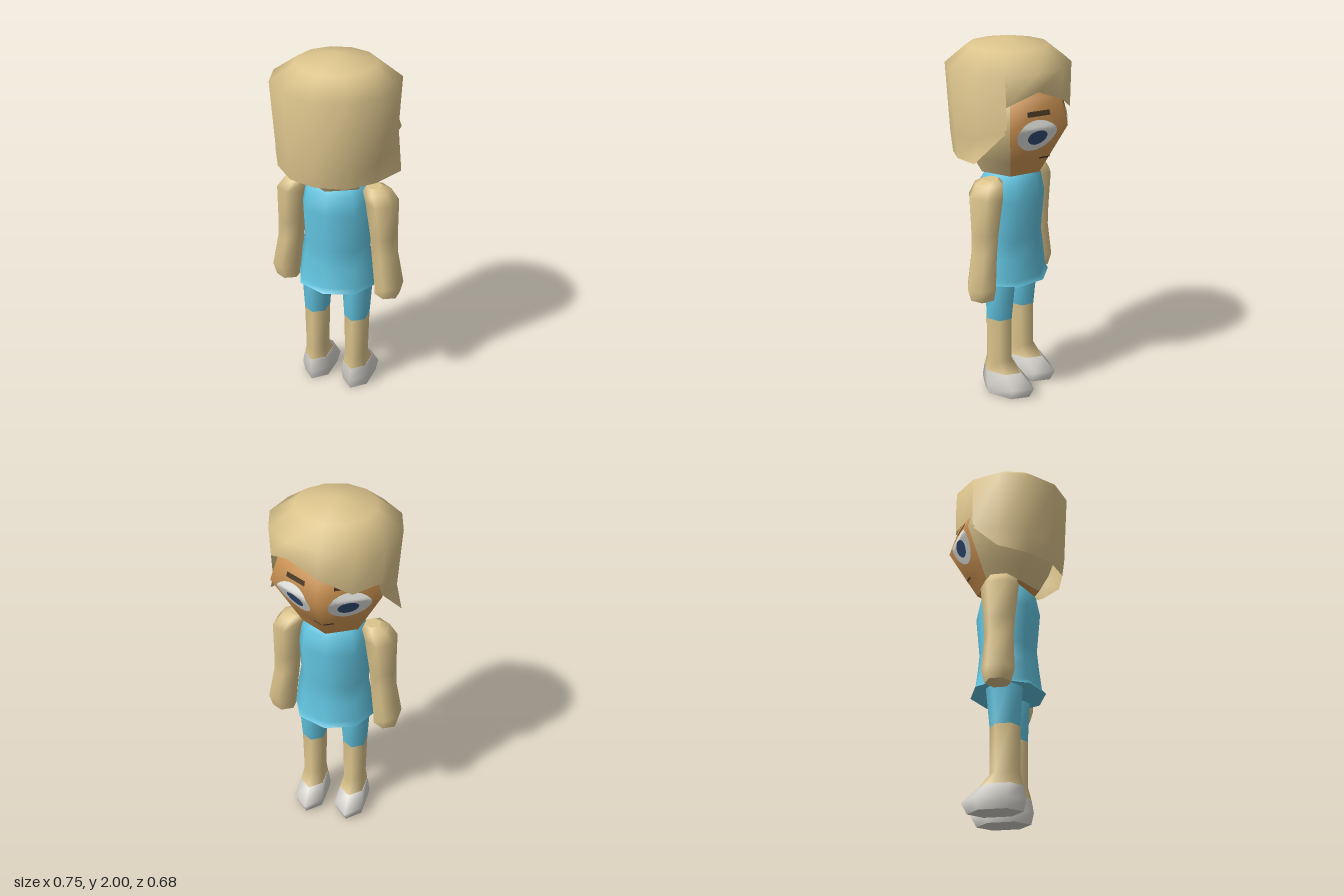
import * as THREE from 'three';
import { mergeVertices, mergeGeometries } from 'three/addons/utils/BufferGeometryUtils.js';

const mat = (name, color, side = THREE.FrontSide) => {
  const m = new THREE.MeshStandardMaterial({ color, side });
  m.name = name;
  return m;
};

// Smooth skin over rings of points, listed from bottom to top; caps are hard-edged.
function skin(rings, capBottom = true, capTop = true) {
  const n = rings[0].length;
  const index = [];
  for (let j = 0; j < n; j++) {
    const k = (j + 1) % n;
    for (let i = 0; i < rings.length - 1; i++) {
      const a = i * n + j, b = i * n + k, c = a + n, d = b + n;
      index.push(a, c, b, b, c, d);
    }
  }
  let side = new THREE.BufferGeometry();
  side.setAttribute('position', new THREE.Float32BufferAttribute(rings.flat(2), 3));
  side.setIndex(index);
  side = mergeVertices(side, 1e-5);
  side.computeVertexNormals();
  const parts = [side];
  const cap = (ring, flip) => {
    const g = new THREE.BufferGeometry();
    const idx = [];
    for (let j = 1; j < n - 1; j++) idx.push(0, flip ? j + 1 : j, flip ? j : j + 1);
    g.setAttribute('position', new THREE.Float32BufferAttribute(ring.flat(), 3));
    g.setIndex(idx);
    g.computeVertexNormals();
    parts.push(g);
  };
  if (capBottom) cap(rings[0], false);
  if (capTop) cap(rings[rings.length - 1], true);
  return mergeGeometries(parts);
}

// Elliptical ring; the first corner points to the face side (-z).
function ring(n, y, rx, rz, cx = 0, cz = 0) {
  return Array.from({ length: n }, (_, j) => {
    const a = (j / n) * Math.PI * 2;
    return [cx + rx * Math.sin(a), y, cz - rz * Math.cos(a)];
  });
}
const loft = (n, rows) => skin(rows.map((r) => ring(n, ...r)));

// Head radius by height
const headProfile = [[1.29, 0.175], [1.38, 0.228], [1.57, 0.34], [1.72, 0.29], [1.85, 0.2]];
function headRadius(y) {
  for (let i = 1; i < headProfile.length; i++) {
    const [y0, r0] = headProfile[i - 1], [y1, r1] = headProfile[i];
    if (y <= y1) return r0 + ((r1 - r0) * (y - y0)) / (y1 - y0);
  }
  return 0.2;
}

// Wraps a flat shape in (s, y) onto one face panel; s runs from the centre line to the side.
function onFace(geo, sign, s0, y0, lift) {
  const p = geo.attributes.position;
  for (let i = 0; i < p.count; i++) {
    const s = s0 + p.getX(i), y = y0 + p.getY(i), r = headRadius(y);
    p.setXYZ(i, sign * (0.866 * r * s + lift * 0.5), y, -r * (1 - s / 2) - lift * 0.866);
  }
  geo.computeVertexNormals();
  return geo;
}
function disc(rs, ry) {
  return new THREE.RingGeometry(0.001, 1, 24, 8).scale(rs, ry, 1);
}

export function createModel() {
  const tan = mat('tan', 0xdcc48c);
  const hairTan = mat('hair', 0xdcc48c, THREE.DoubleSide);
  const face = mat('face skin', 0xd69a56);
  const blue = mat('blue cloth', 0x62c4e0);
  const shoe = mat('shoe grey', 0xd6d3cd);
  const white = mat('eye white', 0xe6e6e2, THREE.DoubleSide);
  const iris = mat('iris blue', 0x36517c, THREE.DoubleSide);
  const dark = mat('dark brown', 0x4a3a24, THREE.DoubleSide);

  const model = new THREE.Group();
  const add = (name, geo, m) => {
    const mesh = new THREE.Mesh(geo, m);
    mesh.name = name;
    model.add(mesh);
  };

  // Six-sided head: the two front panels and the underside have the face colour
  const headGeo = skin(headProfile.map(([y, r]) => ring(6, y, r, r).map(([x, yy, z]) => {
    const k = z > 0 && y > 1.5 ? 0.88 : 1;
    return [x * k, yy, z * k];
  })));
  const column = (headProfile.length - 1) * 6;
  headGeo.addGroup(0, column, 1);
  headGeo.addGroup(column, column * 4, 0);
  headGeo.addGroup(column * 5, column, 1);
  headGeo.addGroup(column * 6, 12, 1);
  headGeo.addGroup(column * 6 + 12, 12, 0);
  add('head', headGeo, [tan, face]);

  // Hair: columns of angle, bend height, hem height and flare, with a slanted fringe
  const columns = [
    [0, 1.7, 1.7, 1], [30, 1.77, 1.77, 1], [60, 1.7, 1.7, 1], [60, 1.57, 1.57, 1],
    [90, 1.52, 1.4, 1.125], [120, 1.5, 1.385, 1], [150, 1.48, 1.375, 0.98],
    [180, 1.46, 1.375, 0.975], [210, 1.48, 1.375, 0.98], [240, 1.5, 1.385, 1],
    [270, 1.52, 1.4, 1.125], [300, 1.57, 1.57, 1], [300, 1.64, 1.64, 1], [330, 1.62, 1.62, 1],
  ];
  const hairPoint = (deg, y, flare) => {
    const a = THREE.MathUtils.degToRad(deg), t = (y - 1.5) / 0.36;
    return [
      (0.325 + 0.025 * t) * flare * Math.sin(a), y,
      0.0075 + 0.0095 * t - (0.3125 + 0.0105 * t) * flare * Math.cos(a),
    ];
  };
  const crown = (y, r) => columns.map(([deg]) => {
    const a = THREE.MathUtils.degToRad(deg);
    return [r * Math.sin(a), y, 0.017 - r * Math.cos(a)];
  });
  add('hair', skin([
    columns.map(([a, , hem, flare]) => hairPoint(a, hem, flare)),
    columns.map(([a, bend]) => hairPoint(a, bend, 1)),
    columns.map(([a]) => hairPoint(a, 1.86, 1)),
    crown(1.955, 0.215),
    crown(2, 0),
  ], false, false), hairTan);

  // Eyes, brows and mouth on both face panels
  for (const s of [1, -1]) {
    const side = s > 0 ? 'left' : 'right';
    add(side + 'EyeWhite', onFace(disc(0.36, 0.088), s, 0.52, 1.53, 0.005), white);
    add(side + 'Iris', onFace(disc(0.18, 0.043), s, 0.5, 1.522, 0.008), iris);
    add(side + 'Brow', onFace(new THREE.PlaneGeometry(0.42, 0.026, 6, 2), s, 0.48, 1.648, 0.006), dark);
    add(side + 'Mouth', onFace(new THREE.PlaneGeometry(0.24, 0.01, 3, 1), s, 0.14, 1.385, 0.004), dark);
  }

  // Dress
  add('dress', loft(8, [
    [0.675, 0.228, 0.205], [0.7, 0.222, 0.183], [0.82, 0.21, 0.168], [0.92, 0.193, 0.158],
    [1.14, 0.205, 0.178], [1.25, 0.185, 0.155], [1.29, 0.14, 0.11],
  ]), blue);

  // Arms, legs and shoes, mirrored
  for (const s of [1, -1]) {
    const side = s > 0 ? 'left' : 'right';
    add(side + 'Arm', loft(6, [
      [0.632, 0.07, 0.07, s * 0.296, 0], [0.7, 0.08, 0.088, s * 0.304, 0],
      [0.89, 0.072, 0.078, s * 0.276, 0], [1.0, 0.074, 0.084, s * 0.27, 0],
      [1.2, 0.088, 0.104, s * 0.256, 0], [1.262, 0.075, 0.085, s * 0.225, 0],
      [1.282, 0.045, 0.045, s * 0.208, 0],
    ]), tan);
    const x = s * 0.12;
    add(side + 'Legging', loft(6, [
      [0.455, 0.07, 0.081, x, 0.005], [0.7, 0.086, 0.1, x, 0],
    ]), blue);
    add(side + 'Leg', loft(6, [
      [0.135, 0.076, 0.117, x, -0.015], [0.2, 0.063, 0.08, x, 0.005], [0.455, 0.07, 0.081, x, 0.005],
    ]), tan);
    add(side + 'Shoe', loft(6, [
      [0, 0.085, 0.145, x, -0.044], [0.06, 0.098, 0.168, x, -0.053], [0.135, 0.078, 0.118, x, -0.015],
    ]), shoe);
  }
  return model;
}
